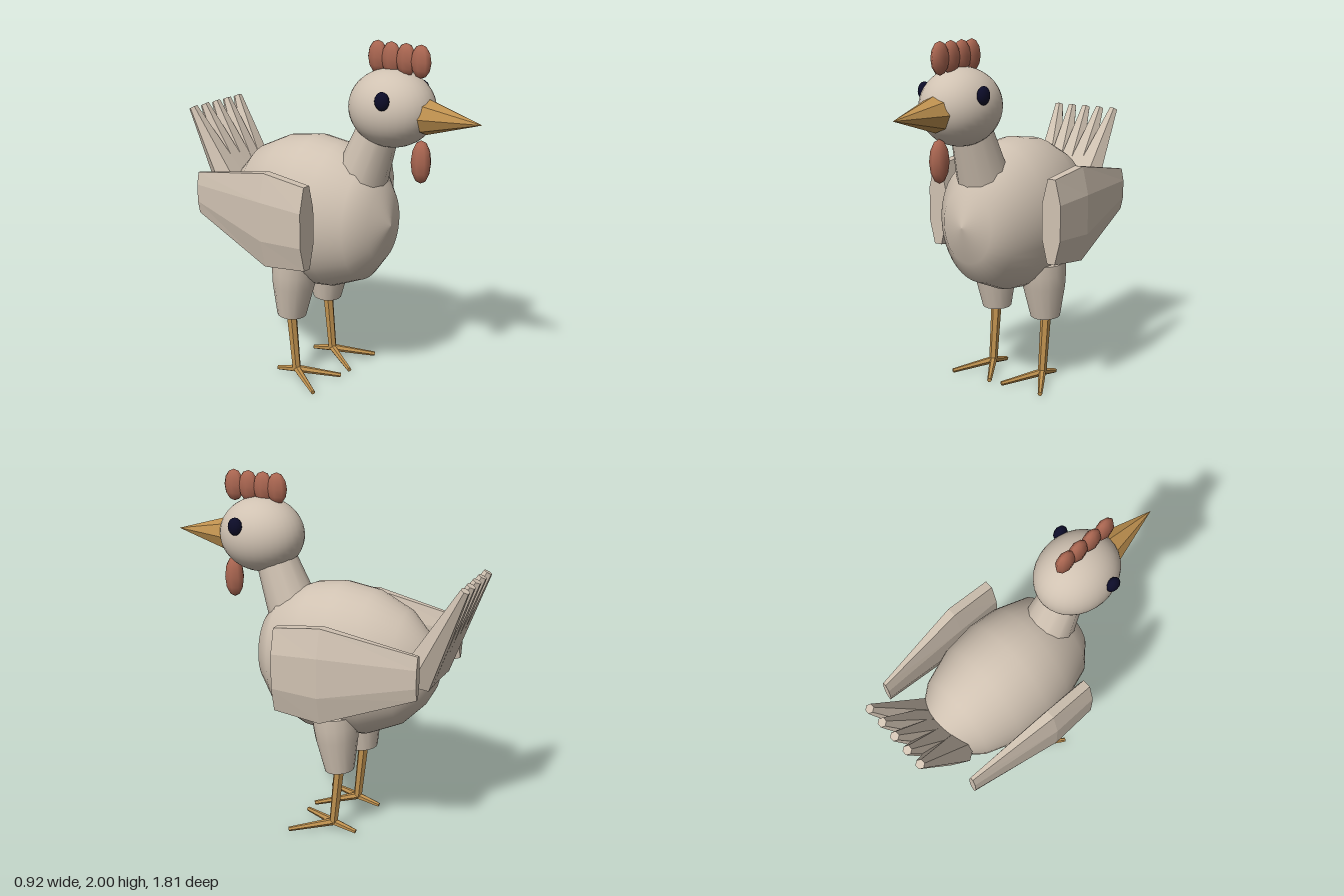
import * as THREE from 'three';

const mat = (name, color) => Object.assign(new THREE.MeshStandardMaterial({ color }), { name });

export function createModel() {
  const group = new THREE.Group();
  const plumage = mat('plumage', 0xd0c2b2);
  const horn = mat('horn', 0xbf914f);
  const comb = mat('comb', 0xaa6651);
  const eyeDark = mat('eyeDark', 0x0c0c28);
  const V = (x, y, z) => new THREE.Vector3(x, y, z);

  const add = (name, geometry, material) => {
    const mesh = new THREE.Mesh(geometry, material);
    mesh.name = name;
    group.add(mesh);
    return mesh;
  };

  // Faceted copy of a geometry
  const flat = (geometry) => {
    const g = geometry.toNonIndexed();
    g.computeVertexNormals();
    return g;
  };

  // Ellipsoid given by its centre and radii
  const blob = (name, c, r, material, w = 32, h = 24) =>
    add(name, new THREE.SphereGeometry(1, w, h).scale(...r).translate(...c), material);

  // Tapered rod from a to b
  const rod = (name, a, b, ra, rb, sides, material, faceted = true, turn = 0) => {
    const dir = b.clone().sub(a);
    const g = new THREE.CylinderGeometry(rb, ra, dir.length(), sides).rotateY(turn);
    g.applyQuaternion(new THREE.Quaternion().setFromUnitVectors(V(0, 1, 0), dir.normalize()));
    const mid = a.clone().add(b).multiplyScalar(0.5);
    g.translate(mid.x, mid.y, mid.z);
    return add(name, faceted ? flat(g) : g, material);
  };

  // Body: egg turned around the z axis, narrower than tall
  const profile = [
    [0, -0.70], [0.10, -0.685], [0.2, -0.63], [0.325, -0.51], [0.413, -0.32], [0.44, -0.13],
    [0.42, 0.03], [0.34, 0.22], [0.21, 0.32], [0, 0.37],
  ].map(([r, z]) => new THREE.Vector2(r, z));
  add('body', new THREE.LatheGeometry(profile, 40)
    .rotateX(Math.PI / 2).scale(0.765, 1, 1).translate(0, 0.992, 0), plumage);

  // Neck, head and beak
  rod('neck', V(0, 1.26, 0.18), V(0, 1.65, 0.33), 0.145, 0.1, 12, plumage, false);
  blob('head', [0, 1.65, 0.365], [0.208, 0.21, 0.245], plumage);
  rod('beak', V(0, 1.63, 0.58), V(0, 1.63, 0.905), 0.097, 0, 8, horn);

  // Comb and wattle
  [0.536, 0.446, 0.355, 0.27].forEach((z) =>
    blob('combLobe', [0, 1.912, z], [0.037, 0.088, 0.062], comb, 8, 6));
  blob('wattle', [0, 1.382, 0.55], [0.048, 0.118, 0.06], comb, 8, 6);

  // Tail: a fan of five tapering feathers
  for (let i = -2; i <= 2; i++) {
    rod('tailFeather', V(i * 0.058, 0.99, -0.617), V(i * 0.098, 1.525, -0.886),
      0.11, 0.026, 6, plumage, true, Math.PI / 6);
  }

  // Wing sections from front to rear: centre x, half width, centre y, half height, z
  const wingSections = [
    [0.393, 0.059, 1.025, 0.235, 0.09],
    [0.395, 0.063, 1.027, 0.267, -0.18],
    [0.356, 0.024, 1.08, 0.12, -0.705],
  ];
  const wing = (side) => {
    const g = new THREE.CylinderGeometry(1, 1, 2, 8, 2).rotateY(Math.PI / 8);
    const p = g.attributes.position;
    const k = 1 / Math.cos(Math.PI / 8);
    for (let i = 0; i < p.count; i++) {
      const [cx, hx, cy, hy, z] = wingSections[Math.round(p.getY(i)) + 1];
      p.setXYZ(i, side * cx + p.getX(i) * hx * k, cy + p.getZ(i) * hy * k, z);
    }
    return flat(g);
  };

  for (const side of [1, -1]) {
    const label = side > 0 ? 'left' : 'right';
    blob(label + 'Eye', [side * 0.196, 1.725, 0.428], [0.031, 0.05, 0.042], eyeDark, 12, 8);
    add(label + 'Wing', wing(side), plumage);

    // Thigh: closed turned shape, leaning slightly forward at the top
    const thigh = [[0, 0], [0.083, 0], [0.083, 0], [0.119, 0.19], [0.127, 0.27], [0.129, 0.335],
      [0.129, 0.335], [0, 0.335]].map(([r, y]) => new THREE.Vector2(r, y));
    add(label + 'Thigh', new THREE.LatheGeometry(thigh, 16).scale(1.06, 1, 1)
      .rotateX(0.09).translate(side * 0.173, 0.392, -0.192), plumage);

    // Shin and three toes
    const ankle = V(side * 0.178, 0.05, -0.158);
    rod(label + 'Shin', ankle, V(side * 0.178, 0.42, -0.193), 0.025, 0.031, 6, horn);
    [[-0.135, 0.222], [0.135, 0.222], [0, -0.138]].forEach(([dx, dz]) =>
      rod(label + 'Toe', ankle, V(ankle.x + dx, 0.016, ankle.z + dz), 0.022, 0.013, 6, horn));
  }

  return group;
}
